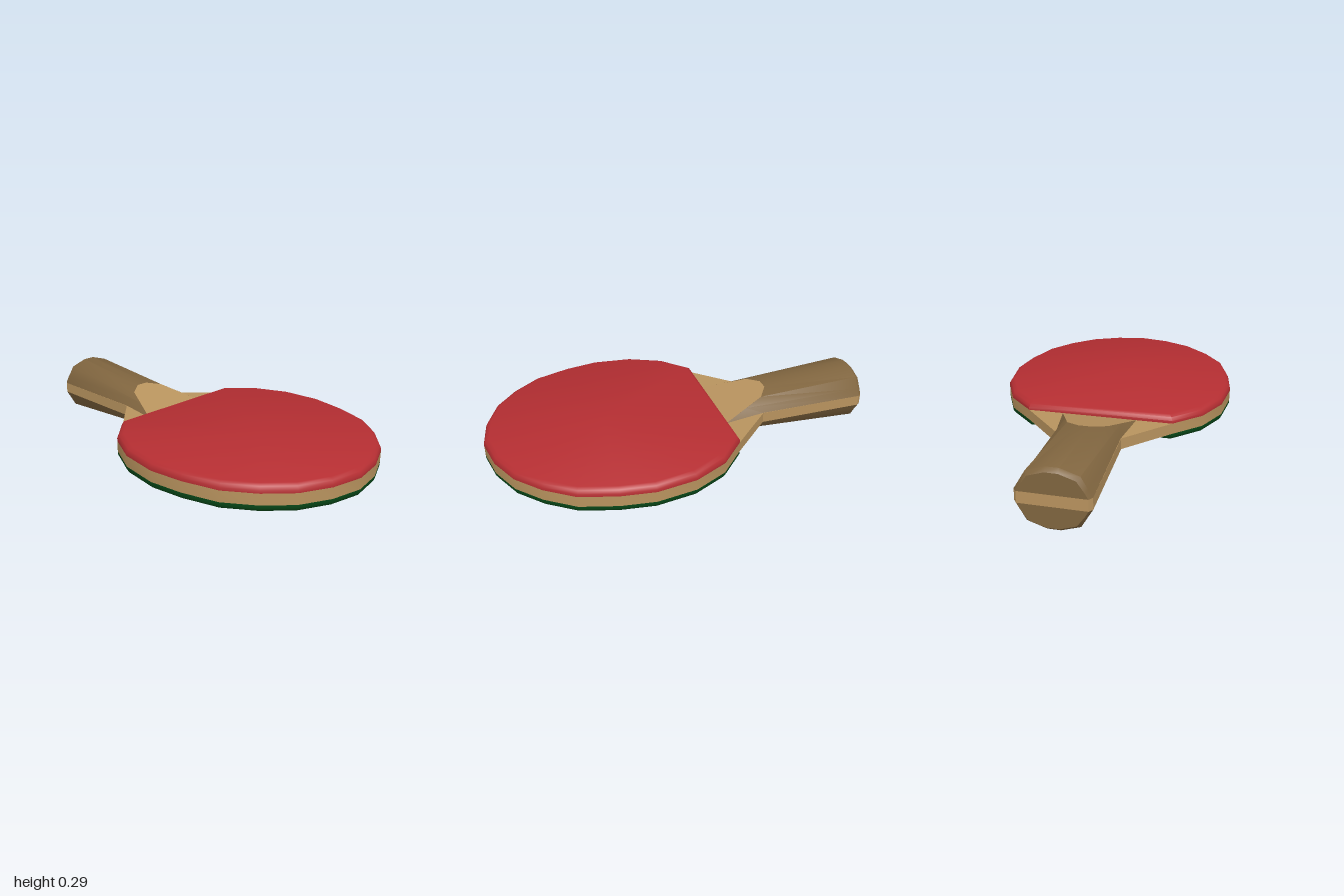
import * as THREE from 'three';
import { toCreasedNormals } from 'three/addons/utils/BufferGeometryUtils.js';

const MID = 0.15;    // height of the middle plane
const CORE = 0.028;  // half thickness of the wooden core
const WOOD = 0xb8935e, GRIP = 0x80653f, RED = 0xb52e32, GREEN = 0x074818;

// half outline of the blade as [x, z], from the tip to the straight cut
const blade = [[1, 0], [0.97, 0.16], [0.9, 0.31], [0.79, 0.43], [0.65, 0.53],
  [0.47, 0.585], [0.3, 0.61], [0.1, 0.585], [-0.07, 0.505], [-0.2, 0.37]];
const neck = [[-0.42, 0.162], [-0.98, 0.17], [-1, 0.155]];

// closes a half outline by mirroring it; runs counterclockwise seen from above
const closeOutline = half => [
  ...half.map(([x, z]) => [x, -z]),
  ...half.slice(1).reverse()];

function makeMesh(name, geometry, color, crease) {
  const mesh = new THREE.Mesh(toCreasedNormals(geometry, crease),
    new THREE.MeshStandardMaterial({ color }));
  mesh.name = name;
  return mesh;
}

function fromTriangles(corners) {
  const g = new THREE.BufferGeometry();
  g.setAttribute('position', new THREE.Float32BufferAttribute(corners.flat(), 3));
  g.computeVertexNormals();
  return g;
}

// joins rows of points into a skin
function loft(rows, closed) {
  const out = [];
  for (let i = 0; i + 1 < rows.length; i++) {
    const n = rows[i].length;
    for (let j = 0; j < (closed ? n : n - 1); j++) {
      const k = (j + 1) % n;
      const a = rows[i][j], b = rows[i][k], c = rows[i + 1][k], d = rows[i + 1][j];
      out.push(a, b, c, a, c, d);
    }
  }
  return out;
}

// fills a ring from a centre point
function fan(center, ring, flip = false) {
  return ring.flatMap((p, j) => {
    const q = ring[(j + 1) % ring.length];
    return flip ? [center, q, p] : [center, p, q];
  });
}

function makeCore() {
  const shape = new THREE.Shape(
    closeOutline([...blade, ...neck]).map(([x, z]) => new THREE.Vector2(x, -z)));
  const g = new THREE.ExtrudeGeometry(shape, { depth: 2 * CORE, bevelEnabled: false });
  g.rotateX(-Math.PI / 2).translate(0, MID - CORE, 0);
  return makeMesh('woodenCore', g, WOOD, 0.5);
}

// rubber sheet with a rounded rim
function makeRubber(name, color) {
  const outline = closeOutline(blade);
  const rows = [[1, CORE], [1, 0.042], [0.985, 0.058], [0.955, 0.067]].map(([s, y]) =>
    outline.map(([x, z]) => [0.4 + (x - 0.4) * s, y, z * s]));
  const corners = [...loft(rows, true), ...fan([0.4, 0.067, 0], rows[3])];
  return makeMesh(name, fromTriangles(corners), color, 0.75);
}

// mirrors a half section of [x, y, z] points across z
const section = half => [
  ...half.map(([x, y, z]) => [x, y, -z]),
  ...half.slice().reverse()];

// half grip, cut off by a slope that runs down to the blade
function makeGrip(side) {
  const slopeY = x => CORE + (-0.2 - x) * 0.268;
  const tip = [-0.2, CORE, 0.19];
  const end = [[-1, CORE, 0.155], [-1, 0.055, 0.14], [-1, 0.105, 0.105], [-1, 0.13, 0.03]];
  const butt = [[-0.98, CORE, 0.17], [-0.98, 0.062, 0.15], [-0.98, 0.118, 0.118], [-0.98, 0.147, 0.03]];
  const cut = [[-0.42, CORE, 0.16], [-0.33, slopeY(-0.33), 0.139],
    [-0.43, slopeY(-0.43), 0.099], [-0.48, slopeY(-0.48), 0.03]];
  const rows = [end, butt, cut, [tip, tip, cut[2], cut[3]]].map(section);
  const corners = [...loft(rows, false), ...fan([-1, CORE, 0], rows[0], true)];
  const slope = fan([-0.34, slopeY(-0.34), 0], section([tip, cut[1], cut[2], cut[3]]));
  const half = new THREE.Group();
  half.name = side + 'Grip';
  half.add(
    makeMesh(side + 'GripShell', fromTriangles(corners), GRIP, 0.8),
    makeMesh(side + 'GripSlope', fromTriangles(slope), WOOD, 0.5));
  return half;
}

export function createModel() {
  const model = new THREE.Group();
  model.name = 'tableTennisBat';
  model.add(makeCore());
  // the lower face is the upper one turned over
  for (const [side, color, turn] of [['upper', RED, 0], ['lower', GREEN, Math.PI]]) {
    const face = new THREE.Group();
    face.name = side + 'Face';
    face.add(makeRubber(side + 'Rubber', color), makeGrip(side));
    face.rotation.x = turn;
    face.position.y = MID;
    model.add(face);
  }
  return model;
}
